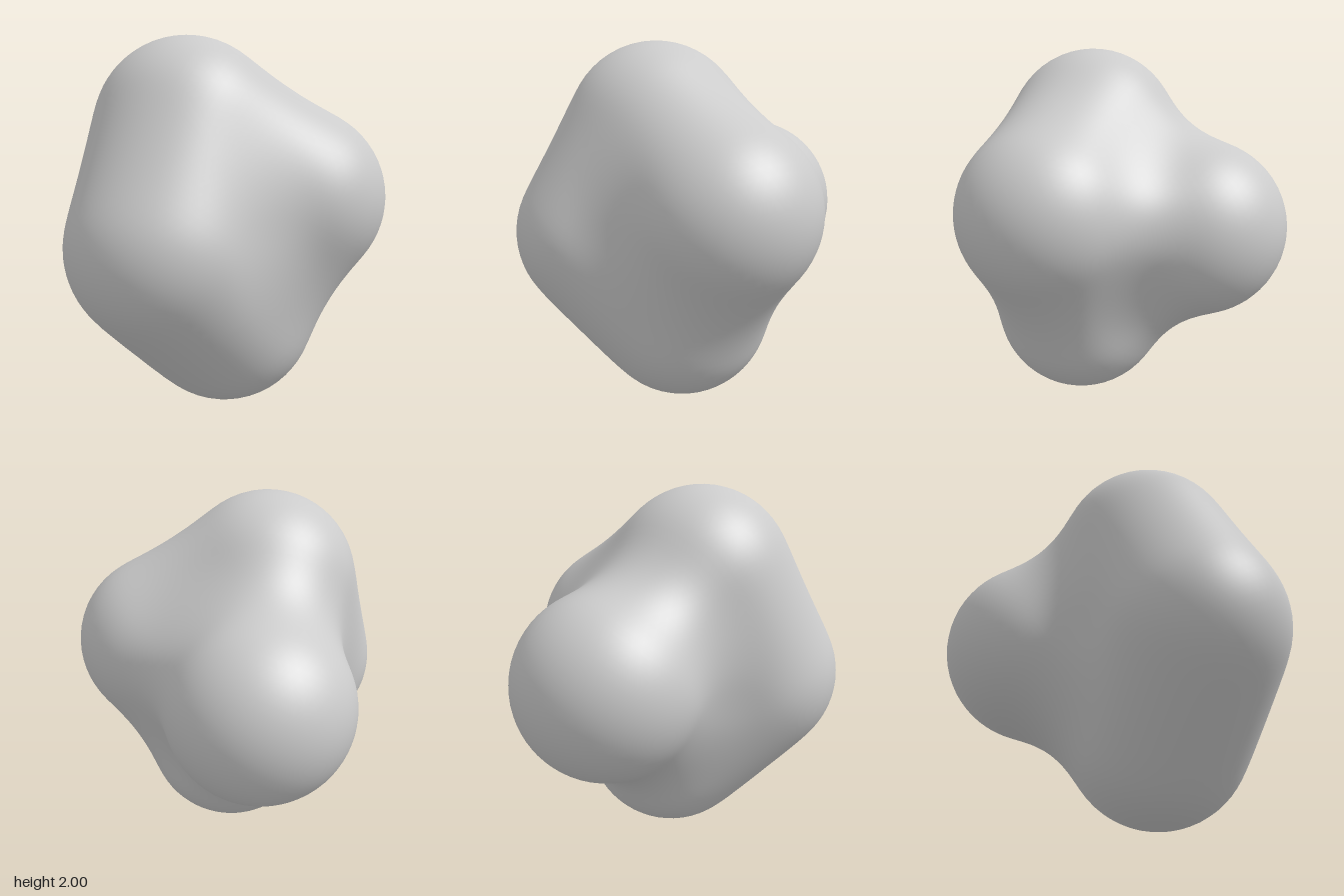
import * as THREE from 'three';
import { mergeVertices } from 'three/addons/utils/BufferGeometryUtils.js';

// Centres of the five equal lobes that melt into one another
const LOBES = [
  [-0.22, 1.5, 0.2], // top
  [0.37, 1.13, 0.17], // left side
  [-0.2, 1.01, -0.48], // back
  [-0.37, 0.93, 0.475], // front right
  [-0.02, 0.5, 0.18], // bottom
].map((c) => new THREE.Vector3(...c));
const RADIUS = 0.5;
const REACH = 0.87; // distance at which a lobe stops pulling on its neighbours
const CORE = new THREE.Vector3(-0.1, 1, 0.06);

// Metaball field of all lobes, turned into an approximate signed distance
function distance(p) {
  let field = 0;
  for (const c of LOBES) {
    field += Math.max(0, 1 - p.distanceToSquared(c) / REACH ** 2) ** 3;
  }
  return REACH * Math.sqrt(Math.max(0, 1 - Math.cbrt(field))) - RADIUS;
}

// Shrink-wrap a sphere of points onto the blended lobes
function blobGeometry() {
  let geo = new THREE.IcosahedronGeometry(1, 20);
  geo.deleteAttribute('uv');
  geo.deleteAttribute('normal');
  geo = mergeVertices(geo, 1e-4);
  const pos = geo.attributes.position;
  const dir = new THREE.Vector3();
  const p = new THREE.Vector3();
  for (let i = 0; i < pos.count; i++) {
    dir.fromBufferAttribute(pos, i).normalize();
    let reach = 1.6;
    for (let step = 0; step < 100; step++) {
      p.copy(CORE).addScaledVector(dir, reach);
      const d = distance(p);
      if (Math.abs(d) < 1e-4) break;
      reach -= d * 0.6;
    }
    pos.setXYZ(i, p.x, p.y, p.z);
  }
  geo.computeVertexNormals();
  return geo;
}

export function createModel() {
  const group = new THREE.Group();
  group.name = 'lobedBlob';
  const body = new THREE.Mesh(
    blobGeometry(),
    new THREE.MeshStandardMaterial({ color: 0xcccccc })
  );
  body.name = 'body';
  group.add(body);
  return group;
}
